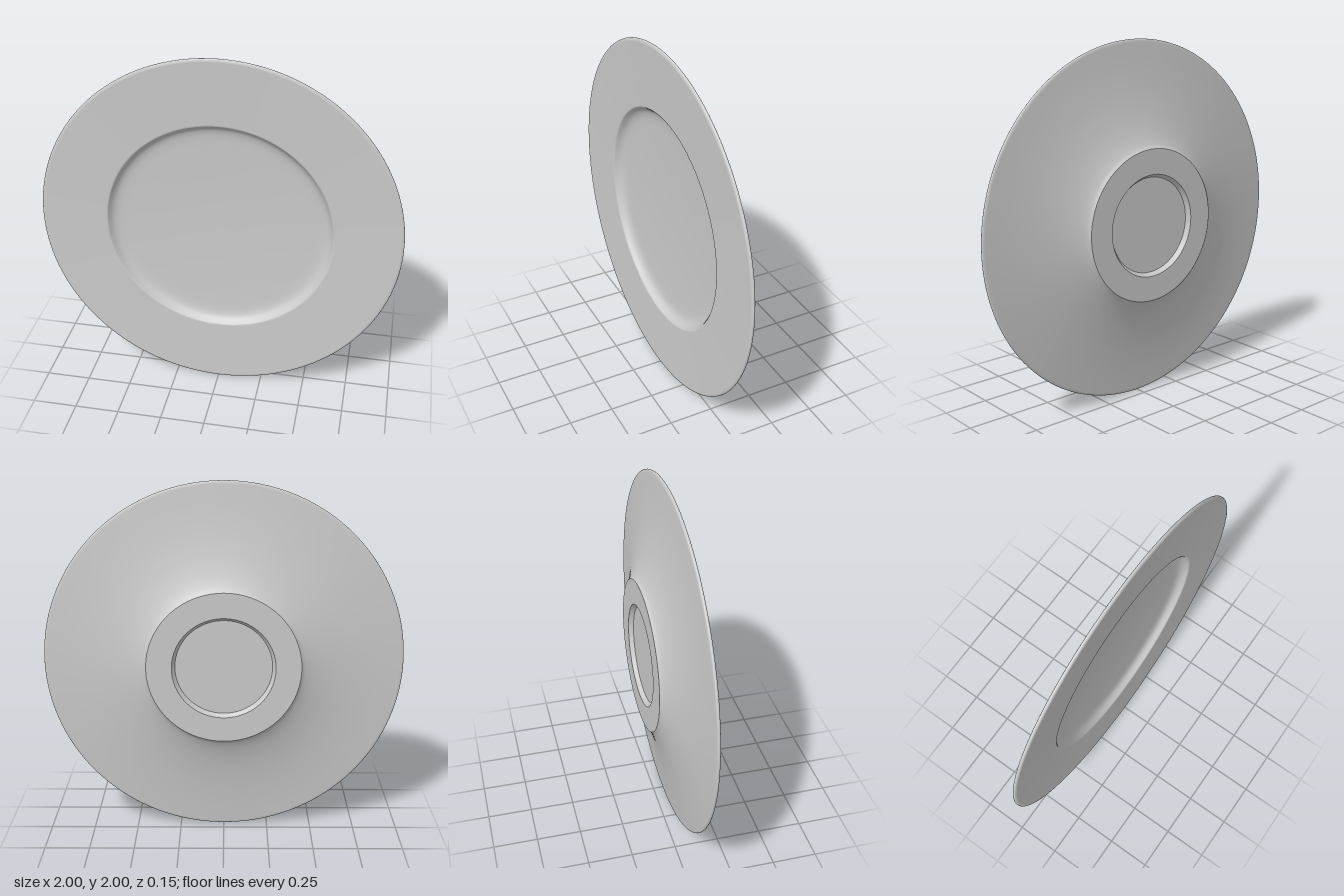
import * as THREE from 'three';

const SEGMENTS = 128;
const material = new THREE.MeshStandardMaterial({ color: 0xcccccc });

// Turns a profile of [radius, depth] points about the z axis; profiles run back to front
function turned(name, points, samples = 0) {
  let profile = points.map(([r, z]) => new THREE.Vector2(r, z));
  if (samples) profile = new THREE.SplineCurve(profile).getPoints(samples);
  profile.forEach((p) => { p.x = Math.max(p.x, 0); });
  const geometry = new THREE.LatheGeometry(profile, SEGMENTS);
  geometry.rotateX(Math.PI / 2);
  const mesh = new THREE.Mesh(geometry, material);
  mesh.name = name;
  return mesh;
}

export function createModel() {
  const plate = new THREE.Group();
  plate.name = 'plate';

  // Flat foot with a shallow recess, kept as separate pieces for crisp edges
  plate.add(
    turned('recessFloor', [[0, -0.05], [0.267, -0.05]]),
    turned('recessWall', [[0.267, -0.05], [0.285, -0.075]]),
    turned('footRing', [[0.285, -0.075], [0.425, -0.075]]),
  );

  // Flared underside
  plate.add(turned('underside', [
    [0.425, -0.075], [0.445, -0.058], [0.49, -0.037], [0.55, -0.017], [0.62, 0.001],
    [0.72, 0.021], [0.85, 0.04], [0.985, 0.055],
  ], 40));

  // Rounded outer edge
  plate.add(turned('outerEdge', [
    [0.985, 0.055], [0.996, 0.058], [1, 0.065], [0.996, 0.072], [0.985, 0.075],
  ], 16));

  // Broad rim, sloping slightly inwards
  plate.add(turned('rim', [[0.985, 0.075], [0.635, 0.064]]));

  // Rounded wall of the well running into a gently dished floor
  plate.add(turned('well', [
    [0.635, 0.064], [0.627, 0.061], [0.618, 0.05], [0.605, 0.036], [0.585, 0.025],
    [0.55, 0.018], [0.48, 0.014], [0.3, 0.008], [0.15, 0.005], [0, 0.004],
  ], 60));

  plate.position.y = 1;
  const model = new THREE.Group();
  model.add(plate);
  return model;
}
